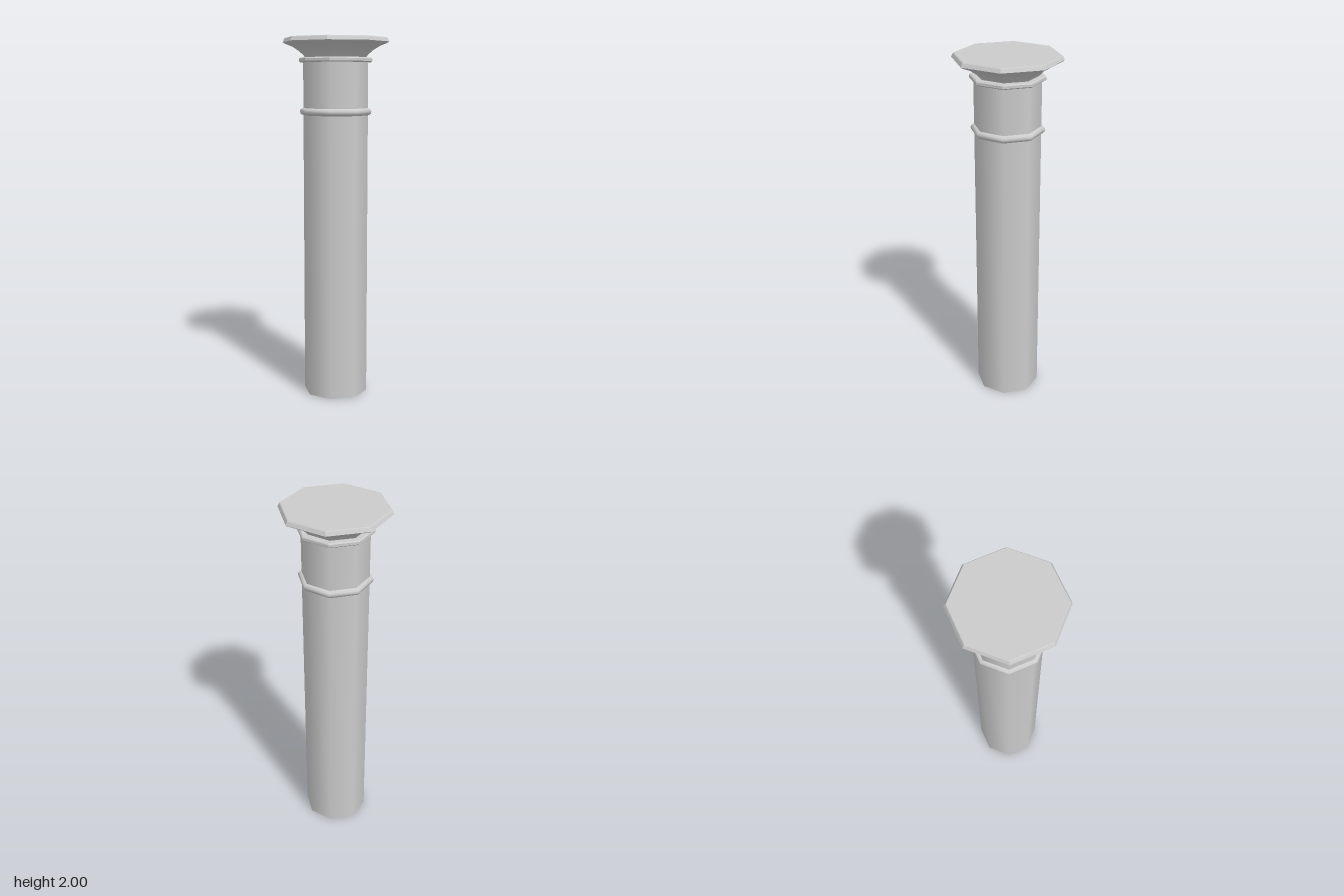
import * as THREE from 'three';
import { toCreasedNormals } from 'three/addons/utils/BufferGeometryUtils.js';

const SIDES = 8;

// Eight-sided turned part from [radius, height] points, listed bottom to top
function turned(name, points, material, crease) {
  const profile = points.map(([r, y]) => new THREE.Vector2(r, y));
  let geometry = new THREE.LatheGeometry(profile, SIDES);
  if (crease) geometry = toCreasedNormals(geometry, crease);
  const mesh = new THREE.Mesh(geometry, material);
  mesh.name = name;
  return mesh;
}

export function createModel() {
  const column = new THREE.Group();
  column.name = 'column';
  const stone = new THREE.MeshStandardMaterial({ color: 0xcccccc });
  const openStone = new THREE.MeshStandardMaterial({ color: 0xcccccc, side: THREE.DoubleSide });

  // Smooth shaft, open at the foot
  column.add(turned('shaft', [[0.18, 0], [0.18, 1.88]], openStone));

  // Rounded moulding around the upper shaft
  const bead = [];
  for (let i = 0; i <= 6; i++) {
    const a = -Math.PI / 2 + (Math.PI * i) / 6;
    bead.push([0.178 + 0.022 * Math.cos(a), 1.6 + 0.02 * Math.sin(a)]);
  }
  column.add(turned('neckRing', bead, stone));

  // Thin collar under the capital
  column.add(turned('capitalCollar', [
    [0.17, 1.867], [0.195, 1.867], [0.203, 1.873], [0.203, 1.887], [0.197, 1.893], [0.15, 1.893],
  ], stone, 0.28));

  // Faceted capital: concave flare, bevelled lip and flat top
  column.add(turned('capital', [
    [0.165, 1.89], [0.18, 1.908], [0.205, 1.93], [0.24, 1.952], [0.287, 1.971],
    [0.294, 1.977], [0.285, 1.996], [0.281, 2], [0, 2],
  ], stone, 0.28));

  return column;
}
